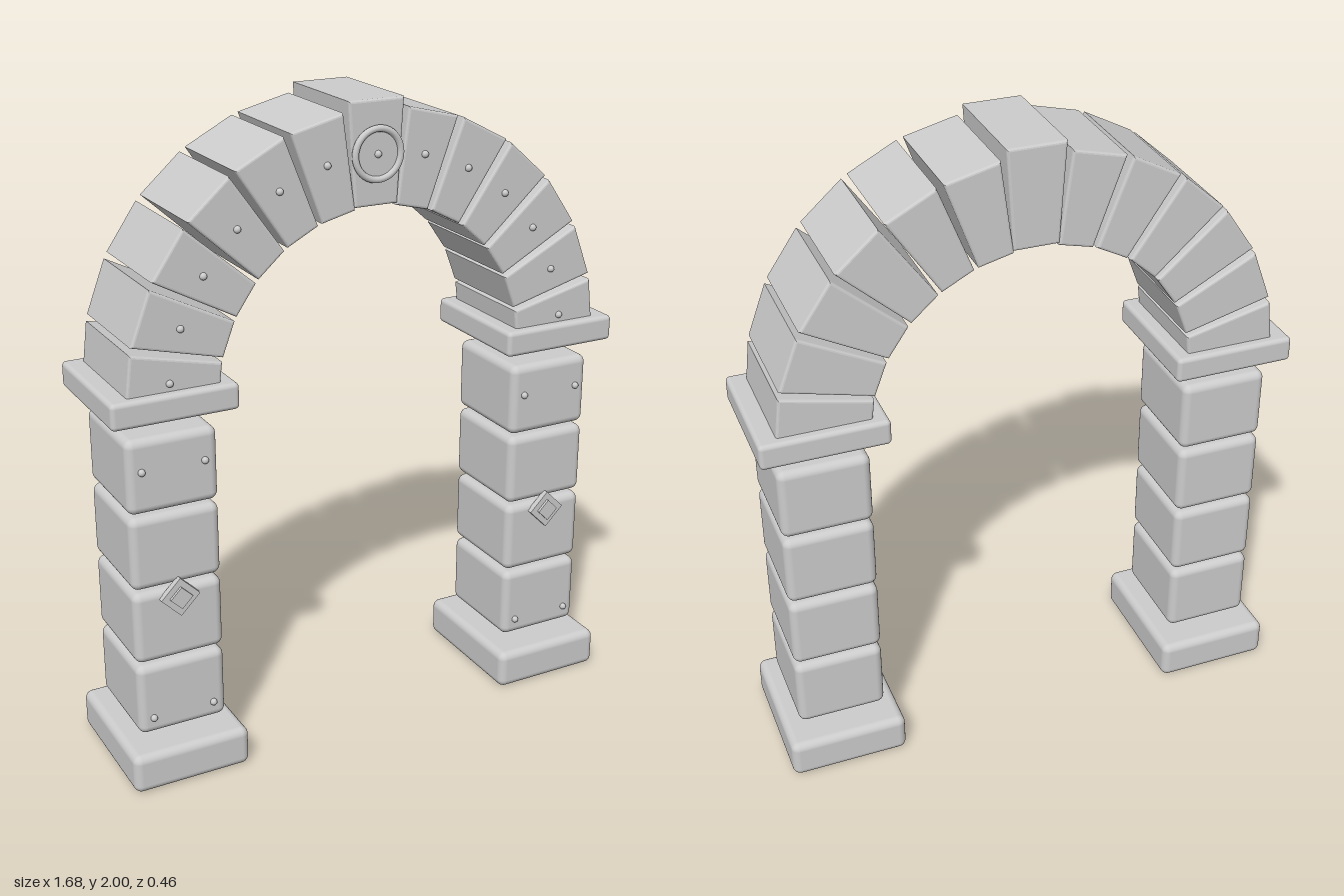
import * as THREE from 'three';
import { RoundedBoxGeometry } from 'three/addons/geometries/RoundedBoxGeometry.js';

const stone = new THREE.MeshStandardMaterial({ color: 0xcccccc });
stone.name = 'stone grey';

function add(parent, name, geometry, x = 0, y = 0, z = 0) {
  const mesh = new THREE.Mesh(geometry, stone);
  mesh.name = name;
  mesh.position.set(x, y, z);
  parent.add(mesh);
  return mesh;
}

// Tapered block with softened edges, spanning y0..y1 and centred on z = 0
function wedge(halfBottom, halfTop, y0, y1, depth, bevel = 0.008) {
  const b = bevel;
  const shape = new THREE.Shape([
    new THREE.Vector2(-halfBottom + b, y0 + b), new THREE.Vector2(halfBottom - b, y0 + b),
    new THREE.Vector2(halfTop - b, y1 - b), new THREE.Vector2(-halfTop + b, y1 - b),
  ]);
  const geometry = new THREE.ExtrudeGeometry(shape, {
    depth: depth - 2 * b, bevelEnabled: true, bevelSize: b, bevelThickness: b, bevelSegments: 3,
  });
  return geometry.translate(0, 0, -depth / 2 + b);
}

const studGeometry = new THREE.SphereGeometry(0.011, 12, 8);
const stud = (parent, x, y, z) => add(parent, 'stud', studGeometry, x, y, z);

function buildPillar(side) {
  const pillar = new THREE.Group();
  pillar.name = side > 0 ? 'leftPillar' : 'rightPillar';
  pillar.position.x = side * 0.645;

  add(pillar, 'base', new RoundedBoxGeometry(0.374, 0.125, 0.456, 4, 0.025), 0, 0.0625);
  for (let i = 0; i < 4; i++) {
    add(pillar, 'pillarBlock', new RoundedBoxGeometry(0.28, 0.23, 0.322, 4, 0.025), 0, 0.27 + i * 0.2411);
  }
  add(pillar, 'capital', new RoundedBoxGeometry(0.386, 0.08, 0.416, 4, 0.014), 0, 1.206);

  // Studs on the top and bottom blocks
  for (const y of [0.21, 1.012]) for (const x of [-0.097, 0.097]) stud(pillar, x, y, 0.164);

  // Stepped diamond ornament
  const plate = add(pillar, 'diamondPlate', new THREE.BoxGeometry(0.087, 0.087, 0.02), 0, 0.6, 0.167);
  const boss = add(pillar, 'diamondBoss', new THREE.BoxGeometry(0.05, 0.05, 0.022), 0, 0.6, 0.175);
  plate.rotation.z = boss.rotation.z = Math.PI / 4;
  return pillar;
}

function buildArch() {
  const arch = new THREE.Group();
  arch.name = 'arch';
  arch.position.y = 1.19;
  const depth = 0.356;
  const step = Math.PI / 13;

  // Six wedge stones on each side of the keystone
  const stoneGeometry = wedge(0.055, 0.084, 0.5, 0.782, depth);
  for (let i = -6; i <= 6; i++) {
    if (i === 0) continue;
    const holder = new THREE.Group();
    holder.name = 'archStone';
    holder.rotation.z = -i * step;
    add(holder, 'wedgeStone', stoneGeometry);
    stud(holder, 0, 0.657, 0.179);
    arch.add(holder);
  }

  // Keystone with its ring medallion
  add(arch, 'keystone', wedge(0.07, 0.089, 0.505, 0.81, depth));
  add(arch, 'medallionRing', new THREE.TorusGeometry(0.073, 0.01, 10, 40), 0, 0.656, 0.186);
  const disc = add(arch, 'medallionDisc', new THREE.CylinderGeometry(0.073, 0.073, 0.012, 40), 0, 0.656, 0.179);
  disc.rotation.x = Math.PI / 2;
  stud(arch, 0, 0.656, 0.185);
  return arch;
}

export function createModel() {
  const model = new THREE.Group();
  model.name = 'stoneArchway';
  model.add(buildPillar(1), buildPillar(-1), buildArch());
  return model;
}
